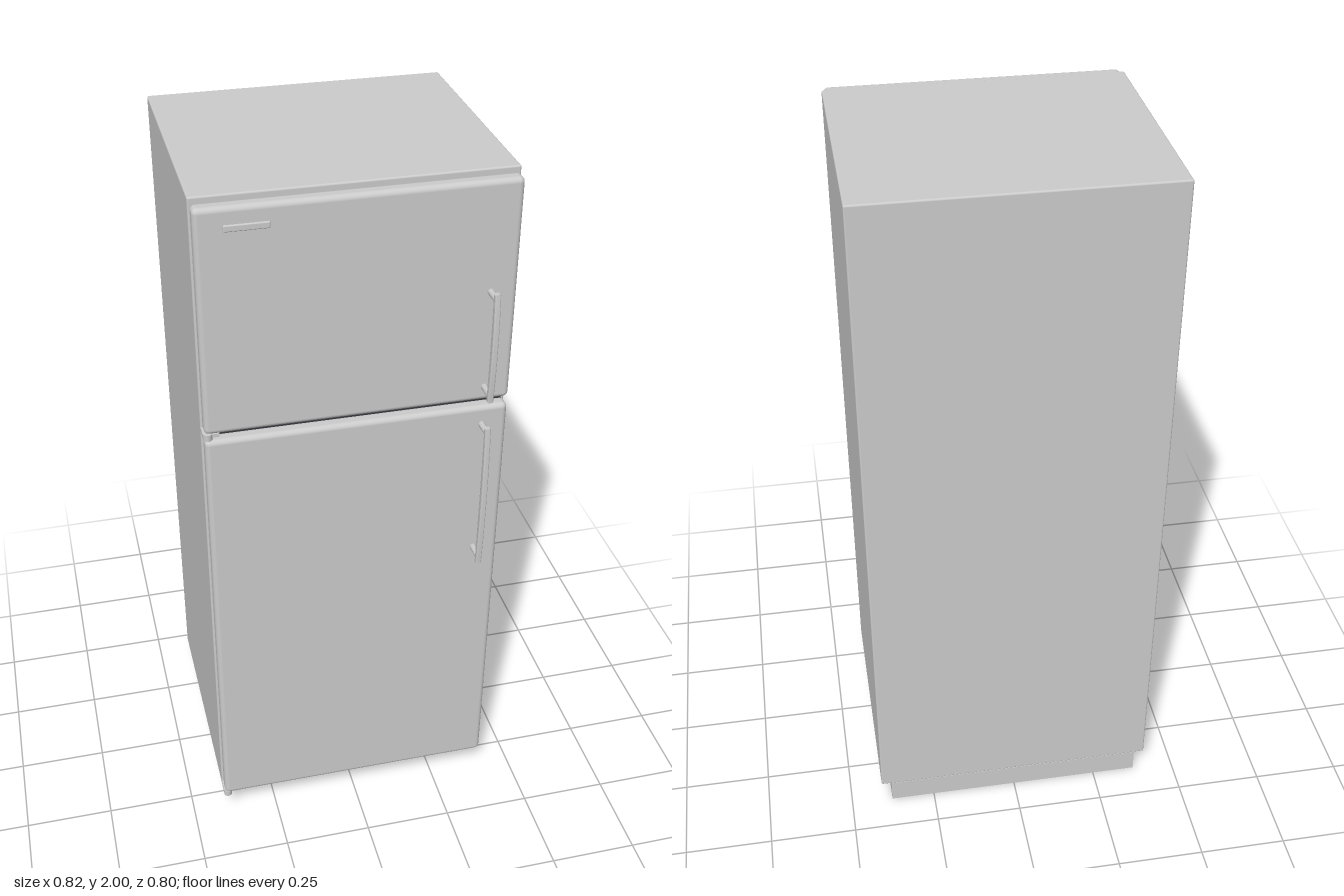
import * as THREE from 'three';
import { RoundedBoxGeometry } from 'three/addons/geometries/RoundedBoxGeometry.js';

const grey = new THREE.MeshStandardMaterial({ color: 0xcccccc });
const dark = new THREE.MeshStandardMaterial({ color: 0x3a3a3f });

export function createModel() {
  const model = new THREE.Group();

  function add(name, geometry, material = grey, parent = model) {
    const mesh = new THREE.Mesh(geometry, material);
    mesh.name = name;
    parent.add(mesh);
    return mesh;
  }
  // Box given by its min and max on each axis; a radius rounds its edges
  function box(name, [x0, x1], [y0, y1], [z0, z1], material = grey, radius = 0) {
    const size = [x1 - x0, y1 - y0, z1 - z0];
    const geometry = radius ? new RoundedBoxGeometry(...size, 4, radius) : new THREE.BoxGeometry(...size);
    geometry.translate((x0 + x1) / 2, (y0 + y1) / 2, (z0 + z1) / 2);
    return add(name, geometry, material);
  }
  // Rounded outline centred on (cx, cy)
  function pill(target, cx, cy, w, h) {
    const r = h / 2, dx = w / 2 - r;
    target.absarc(cx + dx, cy, r, -Math.PI / 2, Math.PI / 2, false);
    target.absarc(cx - dx, cy, r, Math.PI / 2, Math.PI * 1.5, false);
    target.closePath();
    return target;
  }

  // Cabinet and plinth
  box('cabinet', [-0.408, 0.408], [0.07, 2], [-0.4, 0.287], grey, 0.005);
  box('plinth', [-0.378, 0.378], [0, 0.07], [-0.399, 0.23]);

  // Kick grille with a row of slots
  const panel = new THREE.Shape();
  panel.moveTo(-0.378, 0.008).lineTo(0.378, 0.008).lineTo(0.378, 0.07).lineTo(-0.378, 0.07).closePath();
  for (let i = 0; i < 6; i++) panel.holes.push(pill(new THREE.Path(), (i - 2.5) * 0.112, 0.042, 0.074, 0.013));
  add('kickGrille', new THREE.ExtrudeGeometry(panel, { depth: 0.01, bevelEnabled: false, curveSegments: 6 }), dark)
    .position.z = 0.23;

  // Doors with a gasket behind each, and the dark rail between them
  for (const [name, y0, y1] of [['freezer', 1.376, 1.99], ['fridge', 0.08, 1.356]]) {
    box(name + 'Gasket', [-0.39, 0.39], [y0 + 0.012, y1 - 0.012], [0.28, 0.3]);
    box(name + 'Door', [-0.405, 0.402], [y0, y1], [0.295, 0.338], grey, 0.014);
  }
  box('middleRail', [-0.395, 0.395], [1.35, 1.382], [0.28, 0.298], dark);

  // Hinges on the right-hand edge
  for (const [name, y] of [['middleHinge', 1.366], ['bottomHinge', 0.077]]) {
    box(name + 'Plate', [-0.408, -0.365], [y - 0.005, y + 0.005], [0.28, 0.325]);
    const pin = add(name + 'Pin', new THREE.CylinderGeometry(0.012, 0.012, 0.018, 16));
    pin.position.set(-0.396, y, 0.325);
  }

  // Bowed bar handles on two posts
  function handle(name, y0, y1) {
    const group = new THREE.Group();
    group.name = name;
    group.position.x = 0.332;
    model.add(group);
    const mid = (y0 + y1) / 2;
    const side = new THREE.Shape();
    side.moveTo(0.383, y0 + 0.004);
    side.lineTo(0.389, y0 + 0.004);
    side.quadraticCurveTo(0.403, mid, 0.389, y1 - 0.004);
    side.lineTo(0.383, y1 - 0.004);
    side.quadraticCurveTo(0.387, mid, 0.383, y0 + 0.004);
    const bar = new THREE.ExtrudeGeometry(side, {
      depth: 0.008, bevelThickness: 0.004, bevelSize: 0.004, bevelSegments: 3, curveSegments: 16,
    });
    bar.translate(0, 0, -0.004).rotateY(-Math.PI / 2);
    add('bar', bar, grey, group);
    for (const y of [y0 + 0.018, y1 - 0.018]) {
      const post = add('post', new THREE.CylinderGeometry(0.008, 0.009, 0.054, 16), grey, group);
      post.rotation.x = Math.PI / 2;
      post.position.set(0, y, 0.361);
    }
  }
  handle('freezerHandle', 1.4, 1.712);
  handle('fridgeHandle', 0.876, 1.32);

  // Blank trim plate on the freezer door
  box('trimPlate', [-0.335, -0.223], [1.929, 1.946], [0.334, 0.343], grey, 0.003);

  return model;
}
